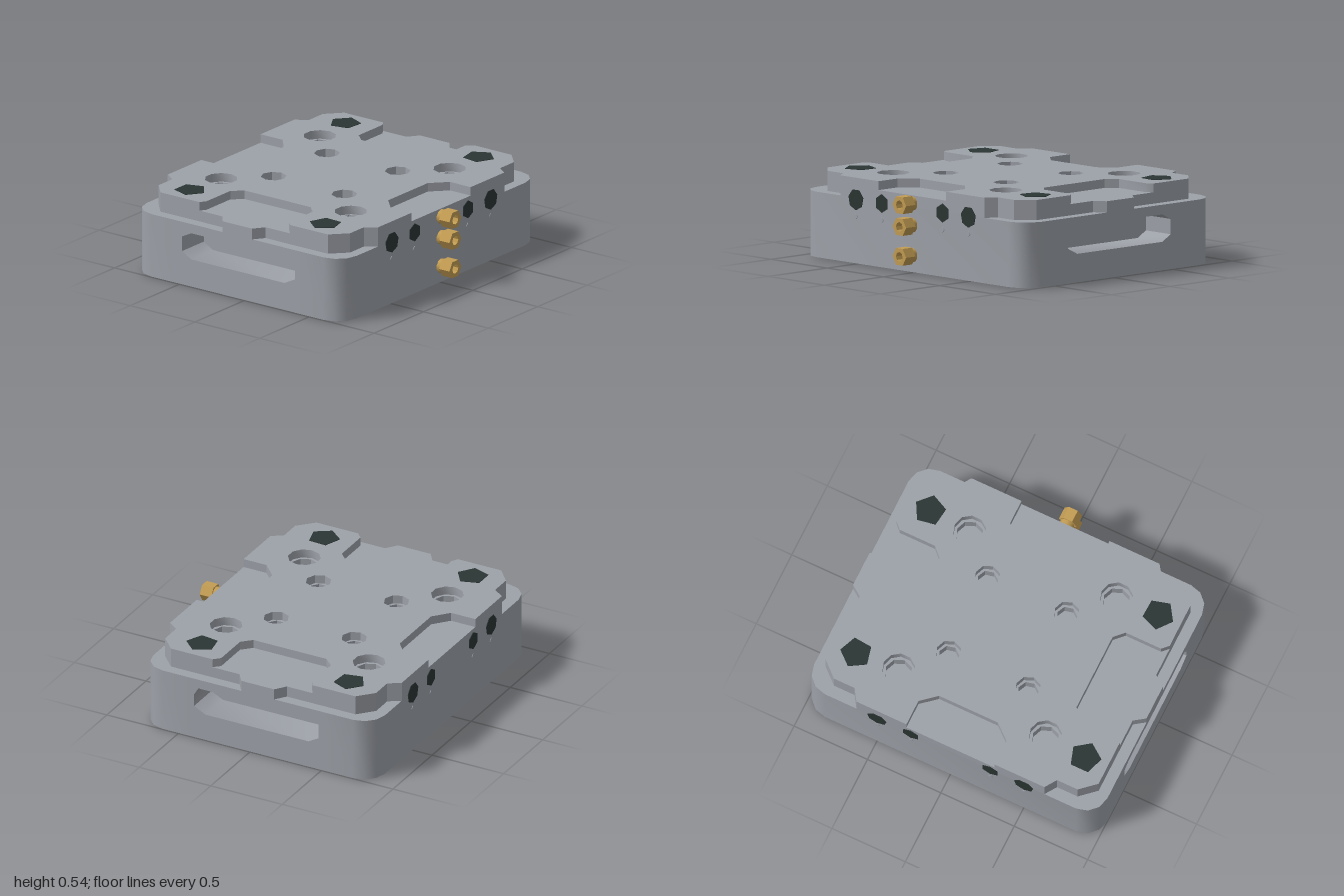
import * as THREE from 'three';
import { toCreasedNormals } from 'three/addons/utils/BufferGeometryUtils.js';

const FRONT = 0.755, BACK = -0.865, MID_Z = (FRONT + BACK) / 2;
const BASE_Y = 0.004, LEDGE_Y = 0.41, POCKET_Y = 0.48, TOP_Y = 0.535;

const aluminium = new THREE.MeshStandardMaterial({ color: 0x9da1a8 });
aluminium.name = 'grey metal';
const rubber = new THREE.MeshStandardMaterial({ color: 0x2b3533 });
rubber.name = 'dark plug';
const brass = new THREE.MeshStandardMaterial({ color: 0xc29c52 });
brass.name = 'brass';

export function createModel() {
  const group = new THREE.Group();
  const add = (name, geometry, material, x = 0, y = 0, z = 0) => {
    const mesh = new THREE.Mesh(geometry, material);
    mesh.name = name;
    mesh.position.set(x, y, z);
    group.add(mesh);
    return mesh;
  };

  // Plan outlines are given as [x, z] for the +x half, front to back, then mirrored
  const planShape = (half) => {
    const mirrored = half.map(([x, z]) => [-x, z]).reverse();
    return new THREE.Shape([...half, ...mirrored].map(([x, z]) => new THREE.Vector2(x, -z)));
  };
  const polygon = (x, y, r, sides, turn = 0) => {
    const pts = [];
    for (let i = 0; i < sides; i++) {
      const a = turn + (i / sides) * Math.PI * 2;
      pts.push(new THREE.Vector2(x + r * Math.cos(a), y + r * Math.sin(a)));
    }
    return pts;
  };
  const drill = (shape, x, z, r, sides) => shape.holes.push(new THREE.Path(polygon(x, -z, r, sides)));
  const extrude = (shape, depth) =>
    toCreasedNormals(new THREE.ExtrudeGeometry(shape, { depth, bevelEnabled: false }), 0.7);
  const slab = (shape, y0, y1) => extrude(shape, y1 - y0).rotateX(-Math.PI / 2).translate(0, y0, 0);

  // Quarter-round body corner, facing front (s = 1) or back (s = -1)
  const R = 0.145;
  const corner = (edge, s) => [0, 1, 2, 3].map((i) => {
    const a = (i / 3) * Math.PI / 2;
    return [1 - R + R * Math.sin(a), edge - s * R * (1 - Math.cos(a))];
  });

  const bolts = [], bigHoles = [], smallHoles = [];
  for (const s of [-1, 1]) {
    bolts.push([s * 0.78, -0.58], [s * 0.78, 0.455]);
    bigHoles.push([s * 0.5, -0.56], [s * 0.5, 0.44]);
    smallHoles.push([s * 0.27, -0.33], [s * 0.27, 0.215]);
  }

  // Body core, with side bays cut out for the grip blocks
  const bayFront = 0.41, bayBack = -0.505, bayX = 0.78;
  const core = planShape([
    ...corner(FRONT, 1), [1, bayFront], [bayX, bayFront],
    [bayX, bayBack], [1, bayBack], ...corner(BACK, -1).reverse(),
  ]);
  bolts.forEach(([x, z]) => drill(core, x, z, 0.038, 6));
  add('body', slab(core, BASE_Y, LEDGE_Y), aluminium);

  // Side blocks, each with a long chamfered grip slot
  const block = new THREE.Shape([[-bayFront, BASE_Y], [-bayBack, BASE_Y], [-bayBack, LEDGE_Y], [-bayFront, LEDGE_Y]]
    .map((p) => new THREE.Vector2(...p)));
  block.holes.push(new THREE.Path([
    [-0.39, 0.22], [-0.31, 0.18], [0.41, 0.18], [0.48, 0.22],
    [0.48, 0.315], [0.41, 0.35], [-0.36, 0.35], [-0.39, 0.30],
  ].map((p) => new THREE.Vector2(...p))));
  const blockGeometry = extrude(block, 1 - bayX).rotateY(Math.PI / 2);
  add('leftGripSlot', blockGeometry, aluminium, bayX);
  add('rightGripSlot', blockGeometry, aluminium, -1);

  // Cut-in corners shared by both upper layers
  const frontCorner = [[0.64, FRONT], [0.69, 0.685], [0.83, 0.685], [0.93, 0.59]];
  const backCorner = [[0.93, -0.70], [0.83, -0.79], [0.69, -0.79], [0.64, BACK]];

  // Middle layer: pocket floors and side tongues
  const middle = planShape([
    ...frontCorner, [0.93, 0.11], [1, 0.06], [1, -0.17], [0.93, -0.22], ...backCorner,
  ]);
  bigHoles.forEach(([x, z]) => drill(middle, x, z, 0.085, 8));
  smallHoles.forEach(([x, z]) => drill(middle, x, z, 0.065, 7));
  add('middleLayer', slab(middle, LEDGE_Y, POCKET_Y), aluminium);

  // Top plate with a pocket open to each side
  const top = planShape([
    [0.20, 0.50], [0.30, 0.595], [0.30, FRONT], ...frontCorner,
    [0.93, 0.30], [0.89, 0.26], [0.65, 0.26], [0.59, 0.20],
    [0.59, -0.31], [0.65, -0.375], [0.89, -0.375], [0.93, -0.40],
    ...backCorner, [0.30, BACK], [0.30, -0.695], [0.20, -0.61],
  ]);
  bigHoles.forEach(([x, z]) => drill(top, x, z, 0.102, 10));
  smallHoles.forEach(([x, z]) => drill(top, x, z, 0.08, 8));
  add('topPlate', slab(top, POCKET_Y, TOP_Y), aluminium);

  // Dark five-sided corner plugs on top
  const cornerPlug = new THREE.CylinderGeometry(0.1, 0.1, 0.006, 5);
  bolts.forEach(([x, z], i) => {
    add('cornerPlug', cornerPlug, rubber, x, TOP_Y, z).rotation.y = i * 0.9;
  });

  // Dark round pad underneath
  add('bottomPad', new THREE.CylinderGeometry(0.665, 0.665, BASE_Y, 24), rubber, 0, BASE_Y / 2, MID_Z);

  // Port plugs and small pin marks on the front and back
  const disc = (r, sides) => new THREE.CylinderGeometry(r, r, 0.008, sides).rotateX(Math.PI / 2);
  const bigPort = disc(0.066, 7), smallPort = disc(0.058, 6), pin = disc(0.017, 4);
  for (const z of [FRONT, BACK]) {
    for (const x of [-0.5, -0.27, 0.27, 0.5]) {
      add('portPlug', Math.abs(x) > 0.4 ? bigPort : smallPort, rubber, x, 0.4, z);
      add('pinMark', pin, aluminium, x, 0.295, z);
    }
  }

  // Brass hose fittings: a neck and a bored hexagon head
  const hex = new THREE.Shape(polygon(0, 0, 0.06, 6));
  hex.holes.push(new THREE.Path(polygon(0, 0, 0.03, 8)));
  const head = extrude(hex, 0.08);
  const neck = new THREE.CylinderGeometry(0.046, 0.046, 0.04, 10).rotateX(Math.PI / 2);
  for (const y of [0.43, 0.295, 0.11]) {
    add('fittingHead', head, brass, 0, y, 0.785);
    add('fittingNeck', neck, brass, 0, y, 0.77);
  }
  return group;
}
